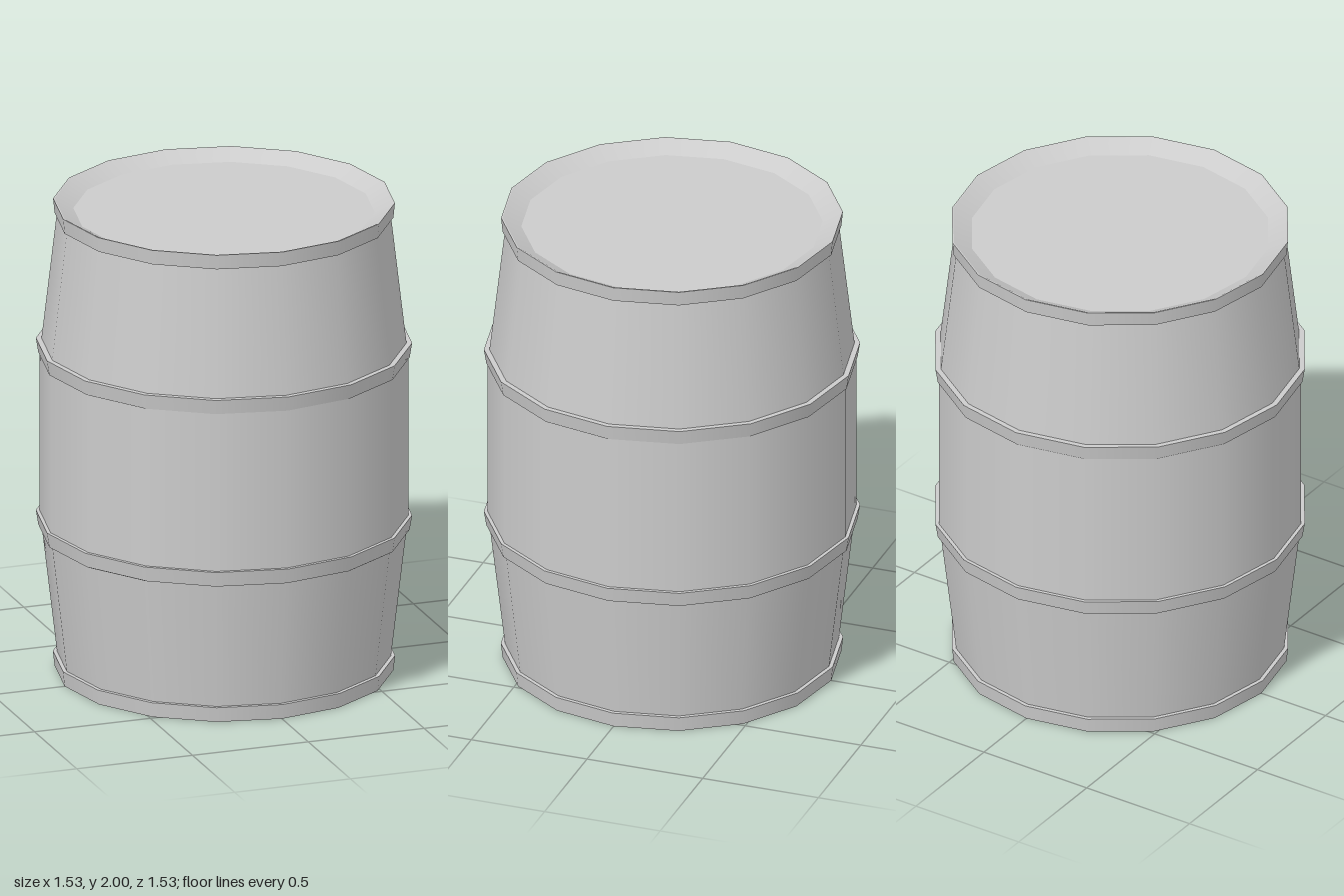
import * as THREE from 'three';
import { mergeGeometries } from 'three/addons/utils/BufferGeometryUtils.js';

const SIDES = 16;
const material = new THREE.MeshStandardMaterial({ color: 0xcccccc });

// Revolve a [radius, y] profile: smooth around, sharp at every profile corner
function turned(name, profile) {
  const bands = [];
  for (let i = 0; i < profile.length - 1; i++) {
    const pair = [profile[i], profile[i + 1]].map(([r, y]) => new THREE.Vector2(r, y));
    bands.push(new THREE.LatheGeometry(pair, SIDES));
  }
  const mesh = new THREE.Mesh(mergeGeometries(bands), material);
  mesh.name = name;
  return mesh;
}

export function createModel() {
  const barrel = new THREE.Group();
  barrel.name = 'barrel';

  // Staves: tapered bottom, straight middle, tapered top
  barrel.add(turned('lowerStaves', [[0.678, 0.06], [0.742, 0.61]]));
  barrel.add(turned('middleStaves', [[0.749, 0.6], [0.749, 1.4]]));
  barrel.add(turned('upperStaves', [[0.742, 1.395], [0.678, 1.945]]));

  // Raised hoops around the belly, slightly wider at the top
  for (const [name, y] of [['lowerHoop', 0.603], ['upperHoop', 1.34]]) {
    barrel.add(turned(name, [[0.735, y], [0.754, y], [0.764, y + 0.062], [0.735, y + 0.062]]));
  }

  // End hoops
  barrel.add(turned('bottomHoop', [[0.67, 0], [0.688, 0], [0.695, 0.063], [0.67, 0.063]]));
  barrel.add(turned('topHoop', [[0.67, 1.938], [0.688, 1.938], [0.694, 2]]));

  // Flat base, and a lid sunk inside a sloping rim
  barrel.add(turned('base', [[0, 0], [0.688, 0]]));
  barrel.add(turned('rim', [[0.694, 2], [0.688, 2], [0.612, 1.96]]));
  barrel.add(turned('lid', [[0.612, 1.96], [0, 1.96]]));

  return barrel;
}
